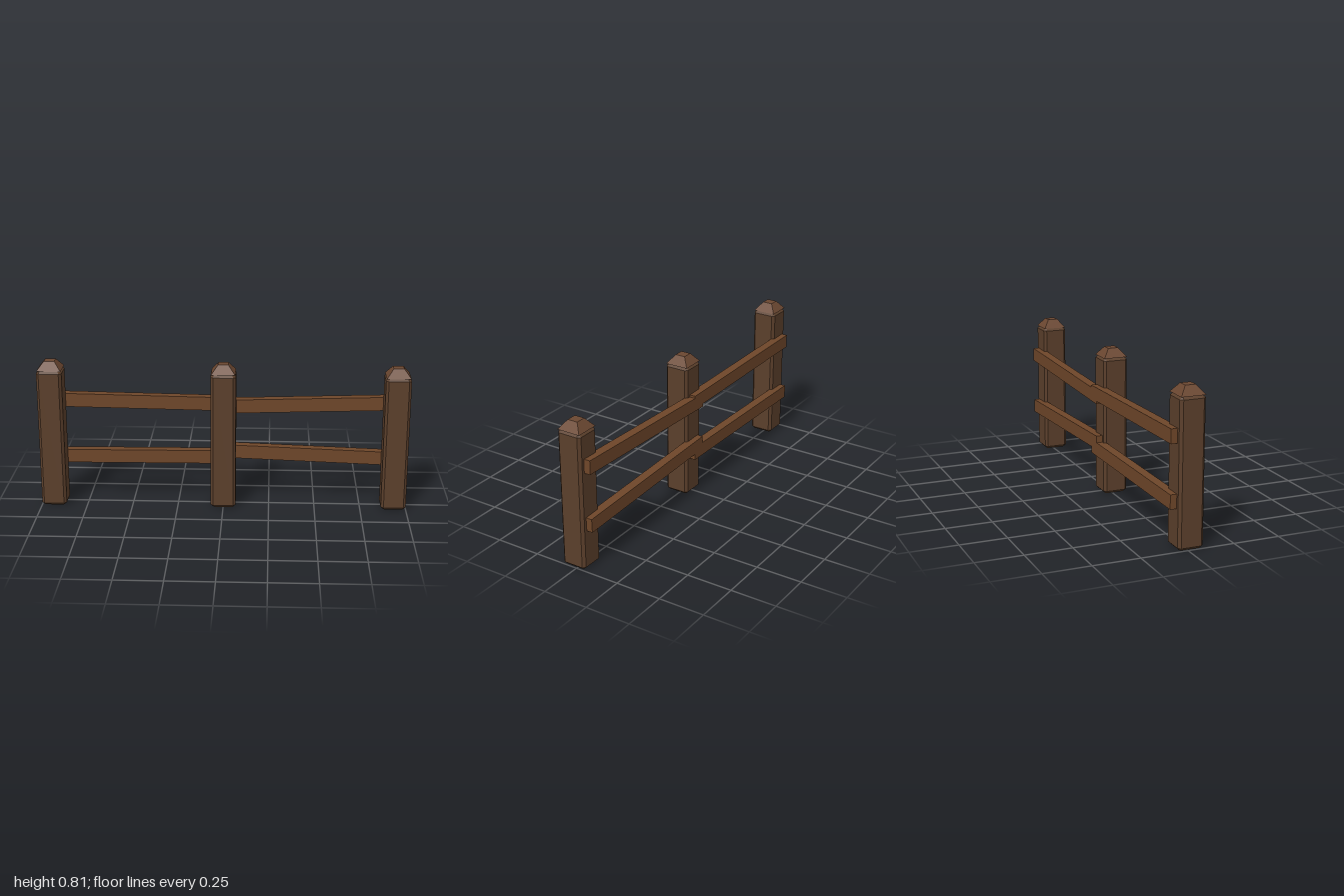
import * as THREE from 'three';

const wood = (color) => new THREE.MeshStandardMaterial({ color, flatShading: true });

export function createModel() {
  const fence = new THREE.Group();
  fence.name = 'fence';
  const postMat = wood(0x5b3f2b);
  const capMat = wood(0x6b4731);
  const railMat = wood(0x6e4629);

  const half = 0.068, corner = 0.014, bevel = 0.014, postZ = 0.017;

  // Square post section with cut corners
  const section = new THREE.Shape();
  const c = half - corner;
  [[c, -half], [half, -c], [half, c], [c, half], [-c, half], [-half, c], [-half, -c], [-c, -half]]
    .forEach(([x, y], i) => (i ? section.lineTo(x, y) : section.moveTo(x, y)));
  section.closePath();

  // Bevelled post with a truncated pyramid cap
  const addPost = (name, x, height) => {
    const group = new THREE.Group();
    group.name = name;
    const shaftGeo = new THREE.ExtrudeGeometry(section, {
      depth: height - 2 * bevel, bevelEnabled: true, bevelSegments: 1,
      bevelThickness: bevel, bevelSize: bevel, bevelOffset: -bevel,
    });
    shaftGeo.rotateX(-Math.PI / 2).translate(0, bevel, 0);
    const shaft = new THREE.Mesh(shaftGeo, postMat);
    shaft.name = 'postShaft';

    const capGeo = new THREE.CylinderGeometry(0.028 * Math.SQRT2, 0.065 * Math.SQRT2, 0.047, 4);
    capGeo.rotateY(Math.PI / 4).translate(0, height + 0.0235, 0);
    const cap = new THREE.Mesh(capGeo, capMat);
    cap.name = 'postCap';

    group.add(shaft, cap);
    group.position.set(x, 0, postZ);
    fence.add(group);
  };
  addPost('rightPost', -0.932, 0.768);
  addPost('middlePost', 0, 0.758);
  addPost('leftPost', 0.932, 0.748);

  // Slightly tilted rail between two centre points, fixed behind the posts
  const addRail = (name, x0, y0, x1, y1) => {
    const length = Math.hypot(x1 - x0, y1 - y0);
    const rail = new THREE.Mesh(new THREE.BoxGeometry(length, 0.075, 0.05), railMat);
    rail.name = name;
    rail.position.set((x0 + x1) / 2, (y0 + y1) / 2, -0.06);
    rail.rotation.z = Math.atan2(y1 - y0, x1 - x0);
    fence.add(rail);
  };
  addRail('rightUpperRail', -0.97, 0.575, 0.037, 0.559);
  addRail('rightLowerRail', -0.97, 0.248, 0.037, 0.253);
  addRail('leftUpperRail', -0.04, 0.544, 0.97, 0.575);
  addRail('leftLowerRail', -0.04, 0.29, 0.97, 0.254);

  return fence;
}
